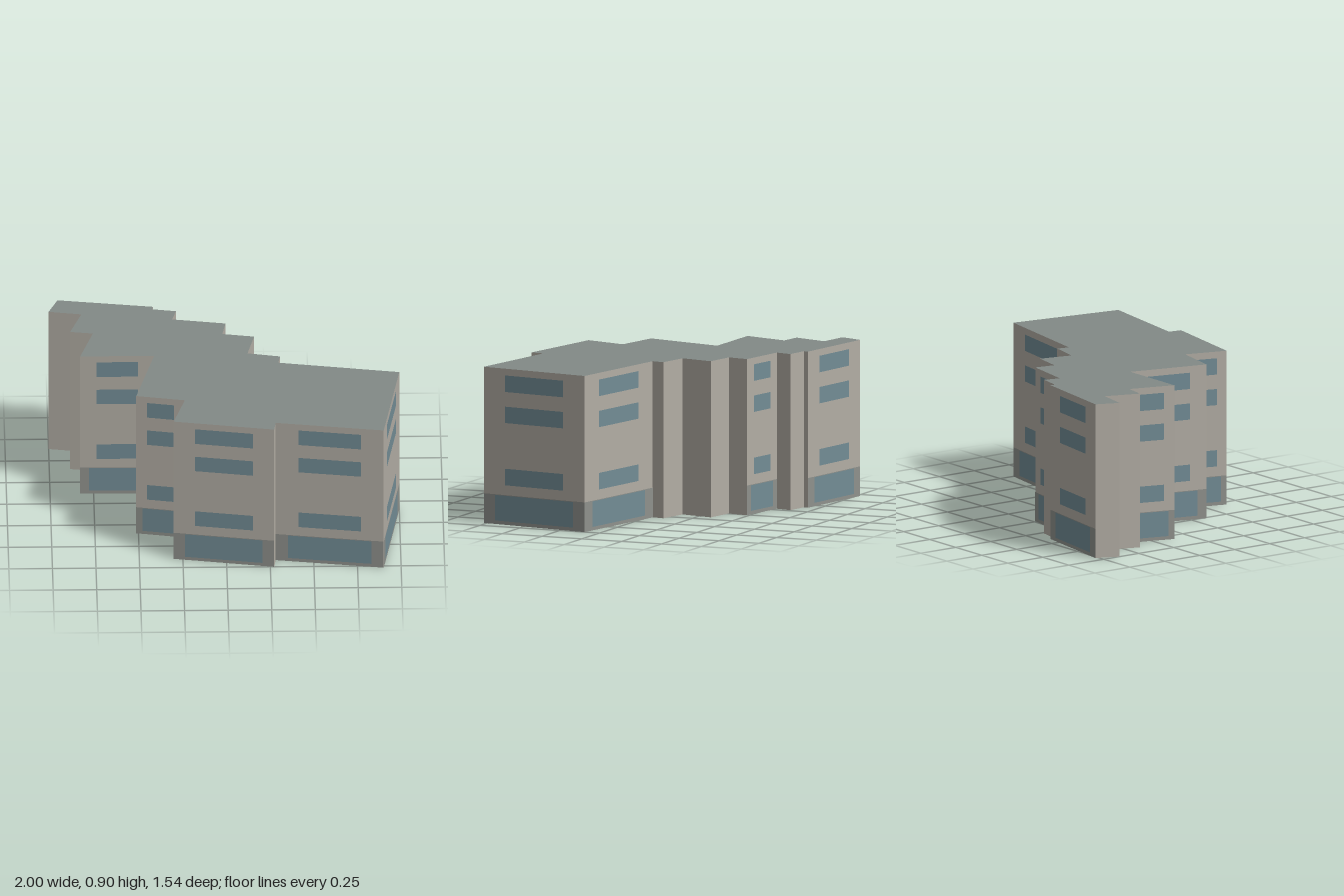
import * as THREE from 'three';

// Footprint corners as [x, z], starting at the back left
const FOOTPRINT = [
  [-0.947, -0.77], [-0.401, -0.686], [-0.406, -0.657], [-0.27, -0.633],
  [-0.293, -0.538], [0.012, -0.486], [-0.008, -0.364], [0.174, -0.331],
  [0.133, -0.137], [0.32, -0.098], [0.307, -0.026], [1, 0.094],
  [0.9, 0.77], [0.282, 0.672], [0.272, 0.75], [-0.303, 0.648],
  [-0.235, 0.402], [-0.513, 0.348], [-0.403, -0.115], [-0.827, -0.117],
  [-0.75, -0.381], [-0.88, -0.402], [-0.813, -0.604], [-1, -0.637],
];
const HEIGHT = 0.905;
const MIN_GLAZED = 0.24; // shorter walls stay blank
const WINDOW_ROWS = [[0.229, 0.325], [0.59, 0.685], [0.77, 0.866]];

const paint = (color, side = THREE.FrontSide) => new THREE.MeshStandardMaterial({ color, side });

export function createModel() {
  const model = new THREE.Group();
  model.name = 'building';
  const wallPaint = paint(0xb2ada4, THREE.DoubleSide);
  const roofPaint = paint(0x828a87, THREE.DoubleSide);
  const basePaint = paint(0x8f918c);
  const glassPaint = paint(0x728c95);

  // Flat roof over a shell that is open underneath
  const outline = new THREE.Shape(FOOTPRINT.map(([x, z]) => new THREE.Vector2(x, -z)));
  const roofGeometry = new THREE.ShapeGeometry(outline);
  roofGeometry.rotateX(-Math.PI / 2);
  const roof = new THREE.Mesh(roofGeometry, roofPaint);
  roof.name = 'roof';
  roof.position.y = HEIGHT;
  model.add(roof);

  // One facade per footprint edge
  FOOTPRINT.forEach(([ax, az], i) => {
    const [bx, bz] = FOOTPRINT[(i + 1) % FOOTPRINT.length];
    const length = Math.hypot(bx - ax, bz - az);

    const facade = new THREE.Group();
    facade.name = 'facade';
    facade.position.set((ax + bx) / 2, 0, (az + bz) / 2);
    facade.rotation.y = Math.atan2(bz - az, ax - bx); // local +z points outward
    model.add(facade);

    const addPanel = (name, margin, bottom, top, offset, material) => {
      const panel = new THREE.Mesh(
        new THREE.PlaneGeometry(length - 2 * margin, top - bottom), material);
      panel.name = name;
      panel.position.set(0, (bottom + top) / 2, offset);
      facade.add(panel);
    };
    addPanel('wall', 0, 0, HEIGHT, 0, wallPaint);
    if (length < MIN_GLAZED) return;

    // Ground floor and window strips on the long walls
    addPanel('groundFloorBand', 0, 0, 0.172, 0.0006, basePaint);
    addPanel('shopWindow', 0.1 * length + 0.009, 0.02, 0.168, 0.0012, glassPaint);
    for (const [bottom, top] of WINDOW_ROWS) {
      addPanel('windowStrip', 0.2 * length + 0.0075, bottom, top, 0.0012, glassPaint);
    }
  });

  return model;
}
